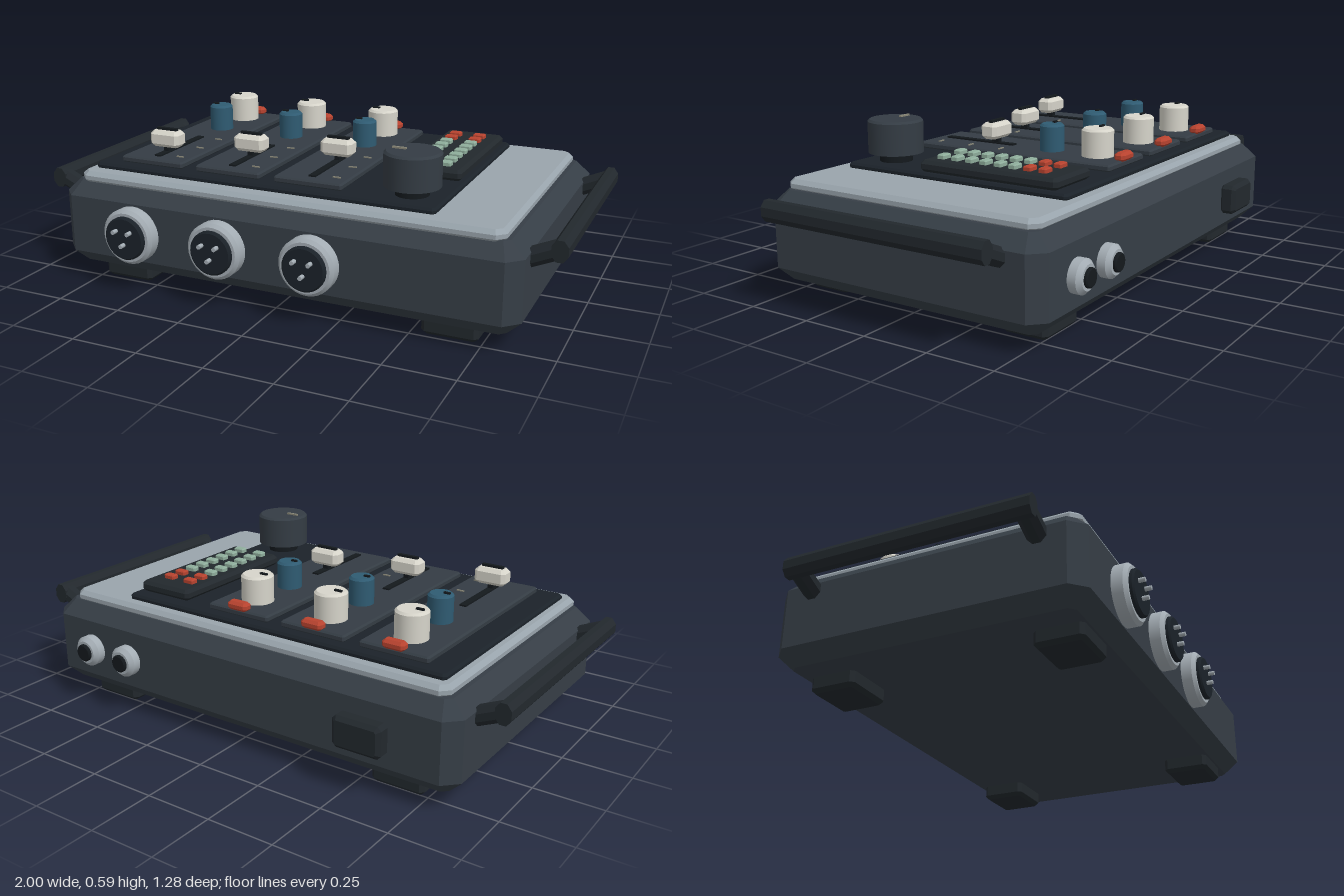
import * as THREE from 'three';

const COLORS = {
  body: 0x363e46, trim: 0x99a4ac, panel: 0x1b2229, strip: 0x343c44, black: 0x14191d,
  rubber: 0x22282d, white: 0xd6d4ca, blue: 0x2f5b72, red: 0xb8432f, green: 0x8fae9c, metal: 0xa4adb4, tick: 0x8a8878,
};
const MATS = {};
for (const k in COLORS) MATS[k] = new THREE.MeshStandardMaterial({ color: COLORS[k] });

const CENTER_Y = 0.214;   // height of all sockets

function add(parent, name, geo, mat, x = 0, y = 0, z = 0) {
  const m = new THREE.Mesh(geo, MATS[mat]);
  m.name = name;
  m.position.set(x, y, z);
  parent.add(m);
  return m;
}

// Slab with clipped corners and bevelled rims; stands on y = 0, w along x, d along z
function slab(w, h, d, bevel, clip = bevel) {
  const a = w / 2, b = d / 2, c = clip;
  const shape = new THREE.Shape([
    [a, -b + c], [a, b - c], [a - c, b], [-a + c, b],
    [-a, b - c], [-a, -b + c], [-a + c, -b], [a - c, -b],
  ].map(p => new THREE.Vector2(...p)));
  return new THREE.ExtrudeGeometry(shape, {
    depth: h - 2 * bevel, bevelThickness: bevel, bevelSize: bevel, bevelOffset: -bevel, bevelSegments: 1,
  }).translate(0, 0, bevel).rotateX(-Math.PI / 2);
}

// Turned disc or knob with a small chamfer on its top rim
function turned(r, h, chamfer = 0.008) {
  const pts = [[0, 0], [r, 0], [r, 0], [r, h - chamfer], [r, h - chamfer], [r - chamfer, h], [r - chamfer, h], [0, h]];
  return new THREE.LatheGeometry(pts.map(p => new THREE.Vector2(...p)), 32);
}

// Knob with a pointer line facing -x
function knob(parent, name, mat, r, h, x, y, z) {
  const g = new THREE.Group();
  g.name = name;
  g.position.set(x, y, z);
  add(g, 'knobCap', turned(r, h), mat);
  add(g, 'knobPointer', new THREE.BoxGeometry(r * 0.5, 0.008, 0.01), mat === 'strip' ? 'tick' : 'black', -r * 0.5, h + 0.002, 0);
  parent.add(g);
}

// One input channel: strip, button, two knobs and a fader
function channel(x, faderZ) {
  const g = new THREE.Group();
  g.name = 'channel';
  g.position.x = x;
  add(g, 'channelStrip', slab(0.263, 0.025, 0.836, 0.006), 'strip', 0, 0.43, -0.019);
  add(g, 'muteButton', slab(0.085, 0.033, 0.042, 0.01), 'red', 0, 0.45, -0.424);
  knob(g, 'gainKnob', 'white', 0.059, 0.103, 0, 0.455, -0.317);
  knob(g, 'toneKnob', 'blue', 0.046, 0.101, 0, 0.455, -0.123);
  add(g, 'faderSlot', new THREE.BoxGeometry(0.026, 0.008, 0.31), 'black', 0, 0.457, 0.2);
  for (const z of [0.05, 0.19, 0.33])
    add(g, 'faderTick', new THREE.BoxGeometry(0.03, 0.006, 0.006), 'tick', 0.084, 0.456, z);
  add(g, 'faderStem', new THREE.BoxGeometry(0.02, 0.035, 0.03), 'black', 0, 0.47, faderZ);
  add(g, 'faderCap', slab(0.124, 0.062, 0.07, 0.013), 'white', 0, 0.478, faderZ);
  add(g, 'faderCapLine', new THREE.BoxGeometry(0.085, 0.012, 0.015), 'black', 0, 0.543, faderZ);
  return g;
}

// Octagonal bar between two points, with separate thickness across and upward
function bar(parent, name, from, to, across, up) {
  const a = new THREE.Vector3(...from), b = new THREE.Vector3(...to);
  const s = 1 / Math.cos(Math.PI / 8) / 2;
  const geo = new THREE.CylinderGeometry(s, s, a.distanceTo(b), 8).rotateY(Math.PI / 8)
    .toNonIndexed().rotateX(Math.PI / 2).scale(across, up, 1);
  geo.computeVertexNormals();
  const m = add(parent, name, geo, 'rubber');
  m.position.copy(a).lerp(b, 0.5);
  m.lookAt(b);
}

function handle(side) {
  const g = new THREE.Group();
  g.name = side > 0 ? 'leftHandle' : 'rightHandle';
  bar(g, 'handleGrip', [side * 0.972, 0.343, -0.46], [side * 0.972, 0.343, 0.433], 0.056, 0.074);
  for (const z of [-0.426, 0.4])
    bar(g, 'handleArm', [side * 0.85, 0.29, z], [side * 0.975, 0.345, z], 0.066, 0.062);
  return g;
}

// Three-pin socket, facing +z
function inputSocket(x) {
  const g = new THREE.Group();
  g.name = 'inputSocket';
  g.position.set(x, CENTER_Y, 0.54);
  add(g, 'socketRing', turned(0.104, 0.062, 0.012).rotateX(Math.PI / 2), 'metal');
  add(g, 'socketFace', turned(0.081, 0.078, 0.006).rotateX(Math.PI / 2), 'panel');
  for (const [px, py] of [[-0.03, 0.028], [0.03, 0.028], [0, -0.022]])
    add(g, 'socketPin', new THREE.CylinderGeometry(0.008, 0.008, 0.04, 10).rotateX(Math.PI / 2), 'metal', px, py, 0.081);
  return g;
}

// Round jack on the rear, facing -z
function rearJack(x) {
  const g = new THREE.Group();
  g.name = 'rearJack';
  g.position.set(x, CENTER_Y, -0.575);
  add(g, 'jackRing', turned(0.058, 0.05, 0.015).rotateX(-Math.PI / 2), 'metal');
  add(g, 'jackCore', turned(0.033, 0.062, 0.004).rotateX(-Math.PI / 2), 'black');
  return g;
}

export function createModel() {
  const root = new THREE.Group();
  root.name = 'audioMixer';

  // Housing
  add(root, 'body', slab(1.76, 0.322, 1.13, 0.052, 0.052), 'body', 0, 0.055, -0.015);
  add(root, 'topPlate', slab(1.63, 0.045, 1.038, 0.015, 0.03), 'trim', 0, 0.366, -0.007);
  add(root, 'controlPanel', slab(1.347, 0.025, 0.928, 0.008, 0.012), 'panel', -0.11, 0.406, -0.016);
  for (const x of [-0.636, 0.636])
    for (const z of [-0.424, 0.403])
      add(root, 'foot', slab(0.2, 0.075, 0.174, 0.014), 'rubber', x, 0, z);
  root.add(handle(1), handle(-1));

  // Channels and their sockets
  [0.28, 0.206, 0.128].forEach((faderZ, i) => {
    root.add(channel(-0.567 + i * 0.321, faderZ));
    root.add(inputSocket(-0.553 + i * 0.358));
  });

  // Level meter: two columns of lamps, red at the far end
  const meter = new THREE.Group();
  meter.name = 'levelMeter';
  add(meter, 'meterPanel', slab(0.23, 0.042, 0.56, 0.012), 'rubber', 0.433, 0.43, -0.15);
  for (const x of [0.377, 0.473])
    for (let i = 0; i < 8; i++)
      add(meter, 'meterLamp', slab(0.046, 0.02, 0.031, 0.004), i < 2 ? 'red' : 'green', x, 0.468, -0.343 + i * 0.0597);
  root.add(meter);

  // Main volume knob on a short shaft
  add(root, 'volumeShaft', new THREE.CylinderGeometry(0.06, 0.06, 0.04, 24), 'black', 0.438, 0.448, 0.323);
  knob(root, 'volumeKnob', 'strip', 0.101, 0.123, 0.438, 0.463, 0.323);

  // Rear fittings
  root.add(rearJack(0.487), rearJack(0.671));
  add(root, 'powerSwitch', slab(0.184, 0.065, 0.115, 0.014).rotateX(-Math.PI / 2), 'rubber', -0.552, CENTER_Y, -0.573);

  return root;
}
